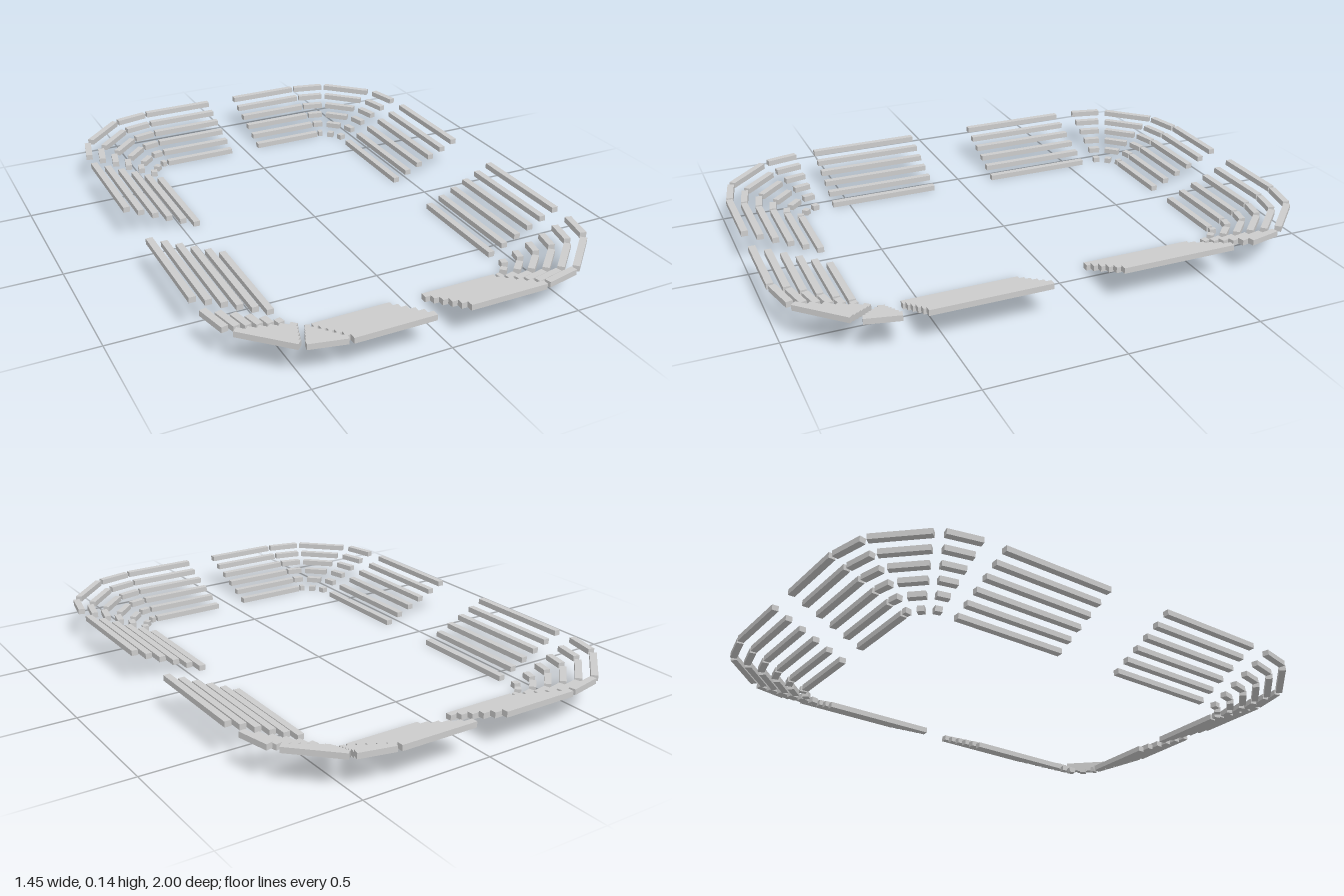
import * as THREE from 'three';

const TIERS = 6, PITCH = 0.0245, HEIGHT = 0.021, DEPTH = 0.025;
const RAD = Math.PI / 180;

// Plank segments of one quarter: [x, z, length] on the lowest and the highest tier, plus yaw in degrees
const SEGMENTS = [
  { name: 'endBench', low: [0.21, 0.716, 0.294], high: [0.21, 0.988, 0.294], yaw: 0 },
  { name: 'cornerBenchEnd', low: [0.376, 0.716, 0.018], high: [0.433, 0.97, 0.132], yaw: 12.5 },
  { name: 'cornerBenchMiddle', low: [0.414, 0.684, 0.025], high: [0.588, 0.873, 0.211], yaw: 45 },
  { name: 'cornerBenchSide', low: [0.444, 0.64, 0.026], high: [0.697, 0.709, 0.125], yaw: 77.5 },
  { name: 'sideBench', low: [0.443, 0.349, 0.436], high: [0.714, 0.349, 0.436], yaw: 90 },
];

export function createModel() {
  const model = new THREE.Group();
  model.name = 'stadiumBenches';
  const material = new THREE.MeshStandardMaterial({ color: 0xcccccc, flatShading: true });

  // Four mirrored quarters with aisles between them
  for (const sx of [1, -1]) {
    for (const sz of [1, -1]) {
      const quarter = new THREE.Group();
      quarter.name = (sz > 0 ? 'front' : 'back') + (sx > 0 ? 'Left' : 'Right') + 'Stand';
      model.add(quarter);

      // Rising tiers, each one further out than the one below
      for (let tier = 0; tier < TIERS; tier++) {
        const t = tier / (TIERS - 1);
        for (const { name, low, high, yaw } of SEGMENTS) {
          const [x, z, length] = low.map((v, i) => THREE.MathUtils.lerp(v, high[i], t));
          const bench = new THREE.Mesh(new THREE.BoxGeometry(length, HEIGHT, DEPTH), material);
          bench.name = name;
          bench.position.set(sx * x, HEIGHT / 2 + tier * PITCH, sz * z);
          bench.rotation.y = sx * sz * yaw * RAD;
          quarter.add(bench);
        }
      }
    }
  }
  return model;
}
